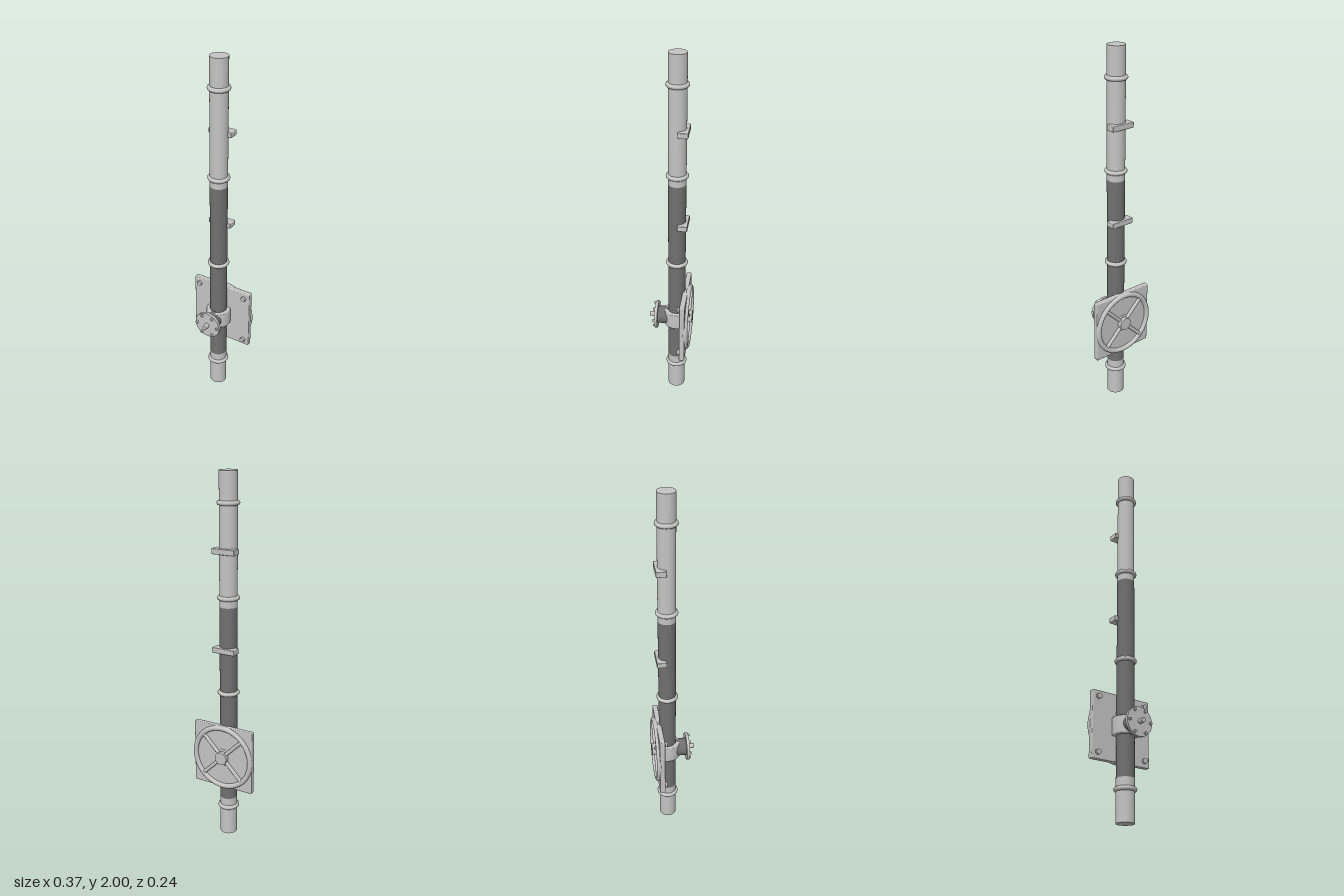
import * as THREE from 'three';
import { RoundedBoxGeometry } from 'three/addons/geometries/RoundedBoxGeometry.js';

const PIPE_Z = -0.033, PIPE_R = 0.047, VALVE_Y = 0.4825;

export function createModel() {
  const model = new THREE.Group();
  const light = new THREE.MeshStandardMaterial({ color: 0xc4c4c4 });
  light.name = 'light grey metal';
  const dark = new THREE.MeshStandardMaterial({ color: 0x707070 });
  dark.name = 'dark grey metal';

  const add = (parent, name, geometry, material, x = 0, y = 0, z = 0) => {
    const mesh = new THREE.Mesh(geometry, material);
    mesh.name = name;
    mesh.position.set(x, y, z);
    parent.add(mesh);
    return mesh;
  };
  const group = (name, y = 0) => {
    const g = new THREE.Group();
    g.name = name;
    g.position.y = y;
    model.add(g);
    return g;
  };
  // Disc or rod along z, between two depths
  const rodZ = (r, z0, z1, sides = 40) =>
    new THREE.CylinderGeometry(r, r, z1 - z0, sides).rotateX(Math.PI / 2).translate(0, 0, (z0 + z1) / 2);

  // Upright pipe in three sections
  const pipe = group('pipe');
  for (const [name, y0, y1, mat] of [
    ['lowerPipe', 0, 0.22, light], ['middlePipe', 0.22, 1.315, dark], ['upperPipe', 1.315, 2, light],
  ]) {
    add(pipe, name, new THREE.CylinderGeometry(PIPE_R, PIPE_R, y1 - y0, 48), mat, 0, (y0 + y1) / 2, PIPE_Z);
  }

  // Rounded joint rings
  for (const y of [0.165, 0.843, 1.363, 1.843]) {
    add(pipe, 'jointRing', new THREE.TorusGeometry(PIPE_R, 0.012, 12, 48).rotateX(Math.PI / 2), light, 0, y, PIPE_Z);
  }

  // Wall brackets behind the pipe
  for (const y of [1.085, 1.605]) {
    add(pipe, 'wallBracket', new RoundedBoxGeometry(0.132, 0.03, 0.053, 2, 0.004), light, 0, y, -0.0665);
  }

  // Valve body: bevelled collar, neck, bolted flange and stem
  const valve = group('valve', VALVE_Y);
  const collar = [[0.04, -0.047], [0.065, -0.047], [0.069, -0.042], [0.069, 0.042], [0.065, 0.047], [0.04, 0.047]]
    .map(([r, y]) => new THREE.Vector2(r, y));
  add(valve, 'valveCollar', new THREE.LatheGeometry(collar, 48), light, 0, 0, PIPE_Z);
  add(valve, 'valveNeck', rodZ(0.049, PIPE_Z, 0.071), dark);
  add(valve, 'valveFlange', rodZ(0.077, 0.07, 0.086, 48), light);
  add(valve, 'valveStem', rodZ(0.013, 0.08, 0.118, 20), light);
  for (let i = 0; i < 6; i++) {
    const a = i * Math.PI / 3;
    add(valve, 'flangeBolt', rodZ(0.008, 0.084, 0.097, 6), light, 0.064 * Math.cos(a), 0.064 * Math.sin(a));
  }

  // Square mounting plate with corner bolts
  const mount = group('mountingPlate', VALVE_Y);
  add(mount, 'plate', new RoundedBoxGeometry(0.358, 0.358, 0.03, 2, 0.005), light, 0, 0, -0.082);
  for (const x of [-0.145, 0.145]) {
    for (const y of [-0.145, 0.145]) add(mount, 'plateBolt', rodZ(0.015, -0.07, -0.053, 6), light, x, y);
  }

  // Handwheel on the back with four diagonal spokes
  const wheel = group('handwheel', VALVE_Y);
  add(wheel, 'wheelRim', new THREE.TorusGeometry(0.17, 0.014, 14, 64), light, 0, 0, -0.099);
  add(wheel, 'wheelHub', rodZ(0.035, -0.122, -0.09), light);
  for (let i = 0; i < 4; i++) {
    const spoke = new THREE.CylinderGeometry(0.01, 0.01, 0.15, 12).translate(0, 0.095, 0);
    add(wheel, 'wheelSpoke', spoke, light, 0, 0, -0.102).rotation.z = Math.PI / 4 + i * Math.PI / 2;
  }

  return model;
}
